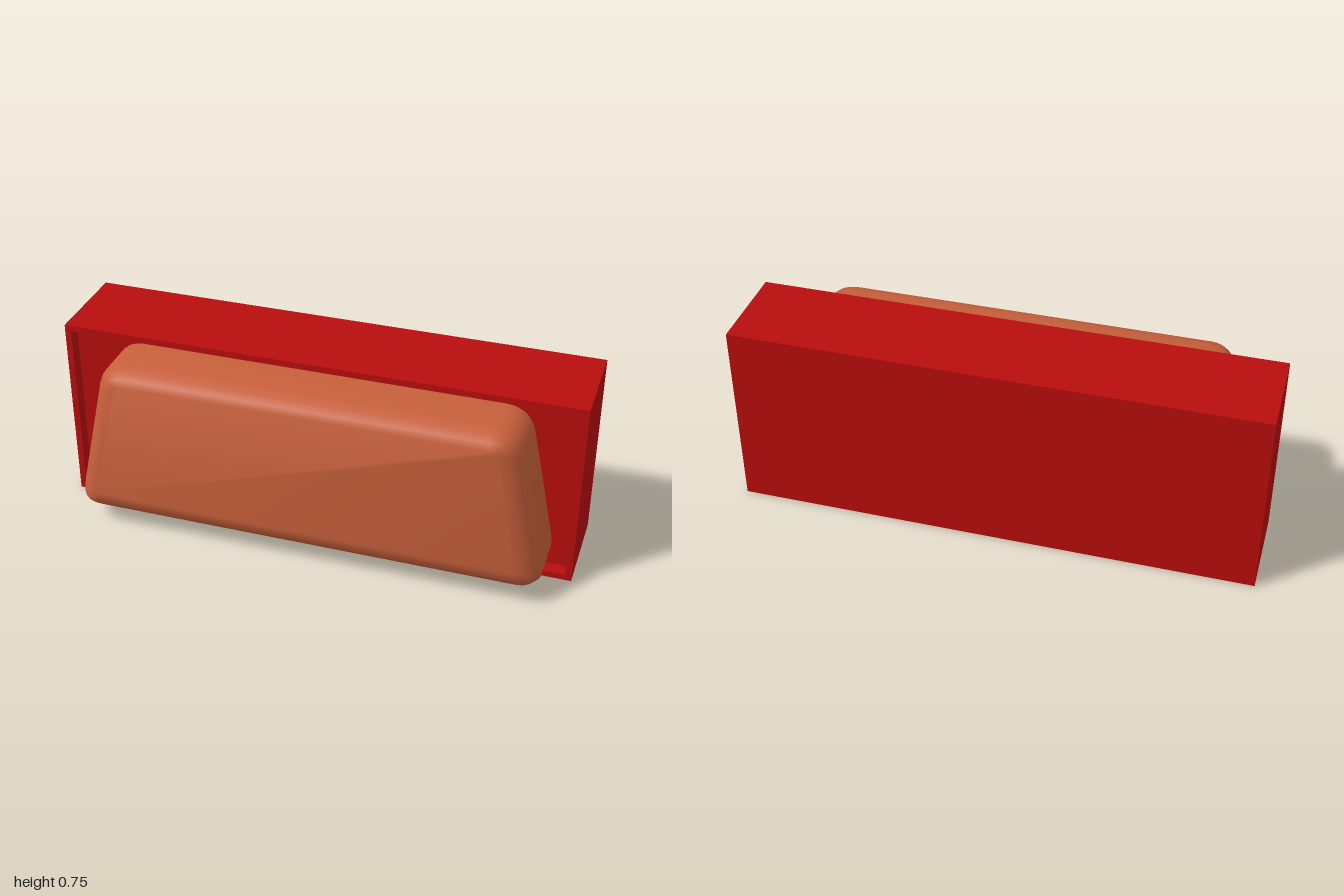
import * as THREE from 'three';
import { toCreasedNormals } from 'three/addons/utils/BufferGeometryUtils.js';

// Skins rings of [x, y, z] (anticlockwise seen from +z, back to front) and caps both ends
function loft(rings) {
  const n = rings[0].length;
  const points = rings.flat();
  const index = [];
  for (let r = 0; r < rings.length - 1; r++) {
    for (let i = 0; i < n; i++) {
      const a = r * n + i, b = r * n + (i + 1) % n;
      index.push(a, b, b + n, a, b + n, a + n);
    }
  }
  const last = (rings.length - 1) * n;
  for (let i = 1; i < n - 1; i++) {
    index.push(0, i + 1, i);
    index.push(last, last + i, last + i + 1);
  }
  const geometry = new THREE.BufferGeometry();
  geometry.setAttribute('position', new THREE.Float32BufferAttribute(points.flat(), 3));
  geometry.setIndex(index);
  geometry.computeVertexNormals();
  return geometry;
}

const HEIGHT = 0.745;

// Rectangle of the housing, inset by d
function rectangle(d, z) {
  const x = 1 - d;
  return [[-x, d, z], [x, d, z], [x, HEIGHT - d, z], [-x, HEIGHT - d, z]];
}

// Trapezoid with rounded corners; the front leans back towards the top
function trapezoid(d, z, lean) {
  const bottom = 0.055 + d, top = 0.69 - d * 0.62;
  const side = y => 0.925 - 0.213 * (y - 0.055) - d;
  const corners = [
    [-side(bottom), bottom], [side(bottom), bottom], [side(top), top], [-side(top), top],
  ].map(p => new THREE.Vector2(...p));
  const radius = 0.1 - d;
  const ring = [];
  corners.forEach((corner, i) => {
    const toward = other => other.clone().sub(corner).setLength(radius).add(corner);
    const curve = new THREE.QuadraticBezierCurve(
      toward(corners[(i + 3) % 4]), corner, toward(corners[(i + 1) % 4]));
    for (const p of curve.getPoints(5)) {
      ring.push([p.x, p.y, z - lean * (p.y - 0.14)]);
    }
  });
  return ring;
}

export function createModel() {
  const model = new THREE.Group();

  // Housing: closed box with a thin rim around a shallow front recess
  const housing = new THREE.Mesh(
    loft([
      rectangle(0, -0.295), rectangle(0, 0.075),
      rectangle(0.025, 0.075), rectangle(0.025, 0.025),
    ]),
    new THREE.MeshStandardMaterial({ color: 0xb80d0d, flatShading: true }));
  housing.name = 'housing';
  model.add(housing);

  // Cushion: rounded trapezoid with a soft front edge, seated in the recess
  const profile = [
    [0, 0.02, 0], [0, 0.205, 0.03], [0.02, 0.252, 0.04],
    [0.045, 0.28, 0.046], [0.085, 0.297, 0.05],
  ];
  const cushion = new THREE.Mesh(
    toCreasedNormals(loft(profile.map(p => trapezoid(...p))), 0.7),
    new THREE.MeshStandardMaterial({ color: 0xc65f3a }));
  cushion.name = 'cushion';
  model.add(cushion);

  return model;
}
